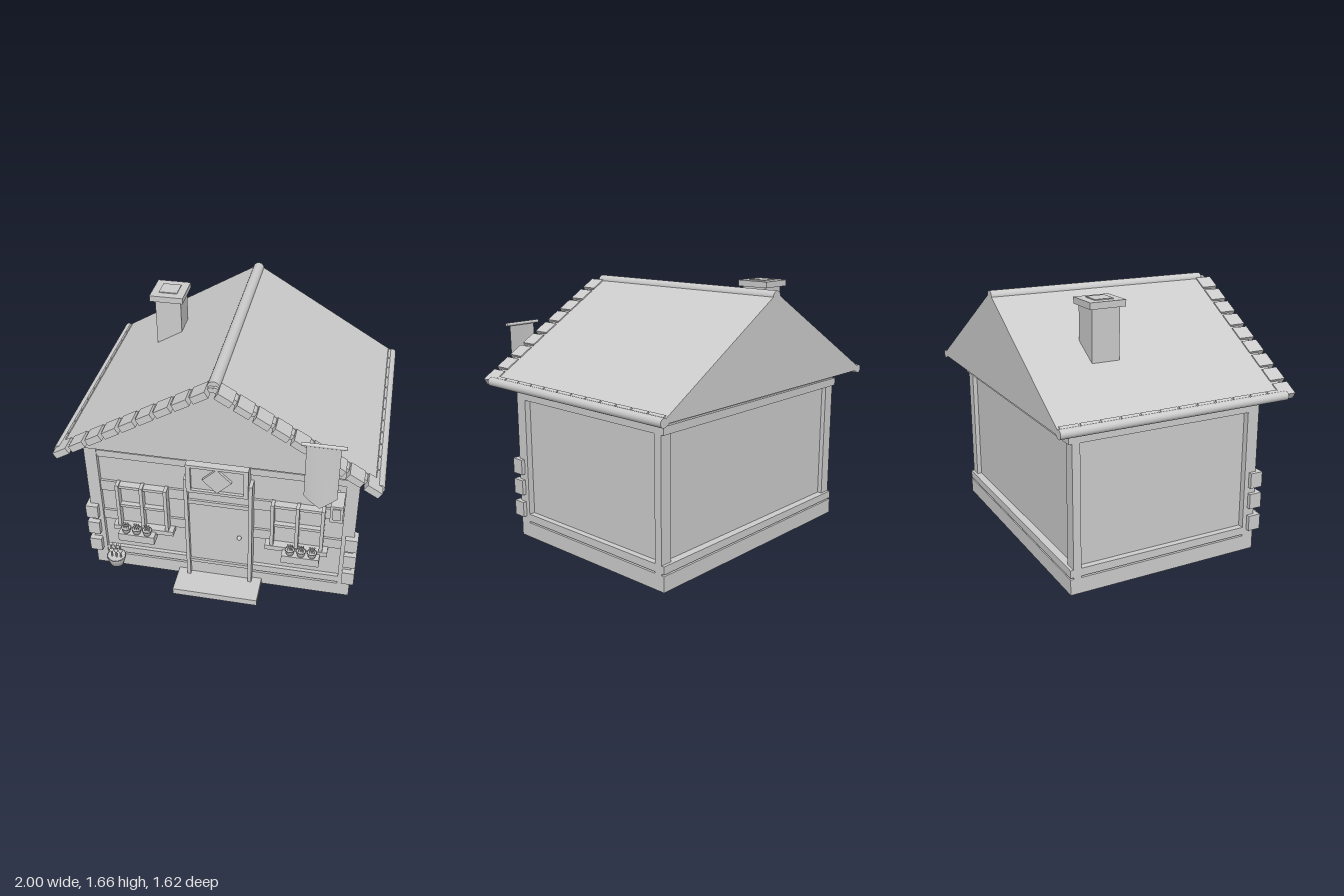
import * as THREE from 'three';

const mat = new THREE.MeshStandardMaterial({ color: 0xcccccc });
const thin = new THREE.MeshStandardMaterial({ color: 0xcccccc, side: THREE.DoubleSide });

function add(parent, name, geo, x = 0, y = 0, z = 0, material = mat) {
  const m = new THREE.Mesh(geo, material);
  m.name = name;
  m.position.set(x, y, z);
  parent.add(m);
  return m;
}

// Box given by its limits on each axis
function box(parent, name, x0, x1, y0, y1, z0, z1) {
  return add(parent, name, new THREE.BoxGeometry(x1 - x0, y1 - y0, z1 - z0),
    (x0 + x1) / 2, (y0 + y1) / 2, (z0 + z1) / 2);
}

function group(parent, name, x = 0, y = 0, z = 0) {
  const g = new THREE.Group();
  g.name = name;
  g.position.set(x, y, z);
  parent.add(g);
  return g;
}

// Round bar along z
function barZ(parent, name, r, x, y, z0, z1) {
  const bar = add(parent, name, new THREE.CylinderGeometry(r, r, z1 - z0, 20), x, y, (z0 + z1) / 2);
  bar.rotation.x = Math.PI / 2;
  return bar;
}

// Round pot with a thick rim and stemmed buds
function plantPot(parent, name, x, y, z, r, h, stems, stemH) {
  const g = group(parent, name, x, y, z);
  const profile = [[0, 0], [r * 0.7, 0], [r, h], [r * 0.88, h], [r * 0.85, h * 0.8], [0, h * 0.8]]
    .map(([a, b]) => new THREE.Vector2(a, b));
  add(g, 'pot', new THREE.LatheGeometry(profile, 20), 0, 0, 0, thin);
  for (const dx of stems) {
    add(g, 'stem', new THREE.CylinderGeometry(r * 0.09, r * 0.09, stemH, 6), dx, h * 0.8 + stemH / 2, 0);
    for (const [f, s] of [[0.5, 0.22], [1, 0.17]]) {
      add(g, 'bud', new THREE.SphereGeometry(r * s, 10, 8), dx, h * 0.8 + stemH * f, 0);
    }
  }
}

function buildWalls(root) {
  const g = group(root, 'walls');
  box(g, 'foundation', -0.86, 0.86, 0, 0.1, -0.7, 0.59);
  box(g, 'wallCore', -0.82, 0.82, 0.1, 1.04, -0.65, 0.56);
  for (const s of [-1, 1]) {
    const x0 = s > 0 ? 0.78 : -0.86;
    const x1 = x0 + 0.08;
    box(g, 'frontPost', x0, x1, 0.1, 1.0, 0.51, 0.59);
    box(g, 'backPost', x0, x1, 0.1, 1.0, -0.68, -0.63);
    // Long side beams
    box(g, 'sideSill', x0, x1, 0.11, 0.16, -0.7, 0.585);
    box(g, 'sideBeam', x0, x1, 0.93, 0.98, -0.7, 0.585);
    box(g, 'sideWallPlate', s * 0.82 - 0.02, s * 0.82 + 0.02, 0.98, 1.04, -0.63, 0.57);
    // Corner stones
    for (const y of [0.14, 0.29, 0.43]) {
      box(g, 'cornerStone', s * 0.845 - 0.04, s * 0.845 + 0.04, y, y + 0.1, 0.54, 0.625);
    }
  }
  for (const [z0, z1] of [[0.53, 0.585], [-0.7, -0.63]]) {
    box(g, 'endSill', -0.84, 0.84, 0.11, 0.16, z0, z1);
    box(g, 'endBeam', -0.84, 0.84, 0.93, 0.98, z0, z1);
    box(g, 'endWallPlate', -0.8, 0.8, 0.98, 1.04, z0 + 0.02, z1 - 0.01);
  }
  // Rails across the front
  for (const s of [-1, 1]) {
    for (const [y0, y1] of [[0.4, 0.475], [0.645, 0.725]]) {
      const a = s > 0 ? 0.2 : -0.8;
      box(g, 'frontRail', a, a + 0.6, y0, y1, 0.55, 0.575);
    }
  }
}

function buildDoor(root) {
  const g = group(root, 'door');
  box(g, 'doorStep', -0.28, 0.28, 0, 0.045, 0.59, 0.79);
  for (const s of [-1, 1]) {
    box(g, 'doorJamb', s * 0.205 - 0.012, s * 0.205 + 0.012, 0.045, 0.87, 0.55, 0.635);
  }
  box(g, 'doorLeaf', -0.195, 0.195, 0.045, 0.8, 0.55, 0.605);
  box(g, 'topRail', -0.195, 0.195, 0.665, 0.695, 0.6, 0.62);
  box(g, 'bottomRail', -0.195, 0.195, 0.15, 0.175, 0.6, 0.62);
  add(g, 'doorKnob', new THREE.SphereGeometry(0.015, 14, 10), 0.133, 0.42, 0.62);
  // Framed panel with a diamond
  box(g, 'overdoorBack', -0.19, 0.19, 0.795, 0.99, 0.55, 0.635);
  box(g, 'overdoorTop', -0.195, 0.195, 0.985, 1.005, 0.55, 0.655);
  box(g, 'overdoorBottom', -0.195, 0.195, 0.79, 0.81, 0.55, 0.655);
  for (const s of [-1, 1]) {
    box(g, 'overdoorSide', s * 0.18 - 0.015, s * 0.18 + 0.015, 0.81, 0.985, 0.55, 0.655);
  }
  const diamond = add(g, 'diamond', new THREE.BoxGeometry(0.13, 0.13, 0.03), 0, 0.9, 0.64);
  diamond.rotation.z = Math.PI / 4;
}

function buildWindow(root, s) {
  const g = group(root, s > 0 ? 'leftWindow' : 'rightWindow', s * 0.5, 0, 0);
  box(g, 'glass', -0.16, 0.16, 0.4, 0.725, 0.55, 0.582);
  for (const x of [-0.157, 0, 0.157]) box(g, 'mullion', x - 0.011, x + 0.011, 0.39, 0.74, 0.57, 0.63);
  for (const y of [0.565, 0.72]) box(g, 'crossbar', -0.165, 0.165, y - 0.01, y + 0.01, 0.57, 0.615);
  box(g, 'windowSill', -0.2, 0.2, 0.37, 0.405, 0.56, 0.635);
  box(g, 'flowerShelf', s * 0.035 - 0.12, s * 0.035 + 0.12, 0.325, 0.385, 0.57, 0.69);
  for (const dx of [-0.07, 0, 0.07]) {
    plantPot(g, 'windowPot', s * 0.037 + dx, 0.385, 0.66, 0.032, 0.035, [-0.014, 0, 0.014], 0.045);
  }
}

function buildRoof(root) {
  const g = group(root, 'roof');
  const pitch = Math.atan(0.6);
  for (const s of [-1, 1]) {
    // Slope frame: x runs down from the ridge
    const slope = group(g, s > 0 ? 'leftSlope' : 'rightSlope', 0, 1.64, 0);
    slope.rotation.z = -s * pitch;
    add(slope, 'roofSlab', new THREE.BoxGeometry(1.14, 0.04, 1.46), s * 0.57, -0.02, -0.08);
    add(slope, 'vergeStrip', new THREE.BoxGeometry(1.12, 0.028, 0.04), s * 0.57, -0.022, 0.665);
    // Tiles along the front edge
    for (let i = 0; i < 9; i++) {
      const t = 0.09 + i * 0.126;
      add(slope, 'vergeTile', new THREE.BoxGeometry(0.1, 0.045, 0.11), s * t, -0.015, 0.703);
      const joint = add(slope, 'tileJoint', new THREE.CylinderGeometry(0.018, 0.018, 0.06, 12), s * (t - 0.063), -0.02, 0.68);
      joint.rotation.x = Math.PI / 2;
    }
    // Caps along the eave
    for (let i = 0; i < 12; i++) {
      add(slope, 'eaveCap', new THREE.BoxGeometry(0.055, 0.045, 0.113), s * 1.127, -0.016, 0.63 - i * 0.1245);
    }
    barZ(g, 'eaveBar', 0.028, s * 0.972, 1.043, -0.81, 0.7);
  }
  barZ(g, 'ridgeBar', 0.036, 0, 1.618, -0.81, 0.69);
  // End gables
  const tri = new THREE.Shape([[-0.95, 1.035], [0.95, 1.035], [0, 1.61]].map(p => new THREE.Vector2(...p)));
  const gable = new THREE.ExtrudeGeometry(tri, { depth: 0.02, bevelEnabled: false });
  add(g, 'frontGable', gable, 0, 0, 0.625);
  add(g, 'backGable', gable, 0, 0, -0.81);
}

function buildChimney(root) {
  const g = group(root, 'chimney');
  box(g, 'stack', -0.585, -0.415, 1.25, 1.62, -0.415, -0.235);
  box(g, 'cap', -0.615, -0.395, 1.61, 1.65, -0.44, -0.21);
  box(g, 'flueTop', -0.565, -0.445, 1.64, 1.656, -0.385, -0.265);
}

function buildBanner(root) {
  const g = group(root, 'banner', 0.64, 0, 0.79);
  const rod = add(g, 'bannerRod', new THREE.CylinderGeometry(0.011, 0.011, 0.256, 12), 0, 1.375, 0);
  rod.rotation.z = Math.PI / 2;
  // Cloth with a pointed hem and a slight bow
  const cloth = new THREE.PlaneGeometry(0.195, 1, 8, 8);
  const p = cloth.attributes.position;
  for (let i = 0; i < p.count; i++) {
    const u = Math.abs(p.getX(i)) / 0.0975;
    const v = 0.5 - p.getY(i);
    p.setY(i, 1.37 - v * (0.44 - 0.07 * u));
    p.setZ(i, 0.005 + 0.018 * v * (1 - u * u) - 0.005 * v);
  }
  cloth.computeVertexNormals();
  add(g, 'bannerCloth', cloth, 0, 0, 0, thin);
}

function buildLetterBox(root) {
  const g = group(root, 'letterBox');
  box(g, 'boxBody', 0.7, 0.778, 0.735, 0.86, 0.56, 0.7);
  box(g, 'boxDoor', 0.714, 0.764, 0.76, 0.845, 0.69, 0.707);
  add(g, 'bell', new THREE.SphereGeometry(0.01, 12, 8), 0.74, 0.9, 0.6);
}

export function createModel() {
  const root = new THREE.Group();
  root.name = 'cottage';
  buildWalls(root);
  buildDoor(root);
  for (const s of [-1, 1]) buildWindow(root, s);
  buildRoof(root);
  buildChimney(root);
  buildBanner(root);
  buildLetterBox(root);
  plantPot(root, 'frontPot', -0.69, 0.1, 0.675, 0.065, 0.065, [-0.03, 0, 0.03], 0.115);
  return root;
}
